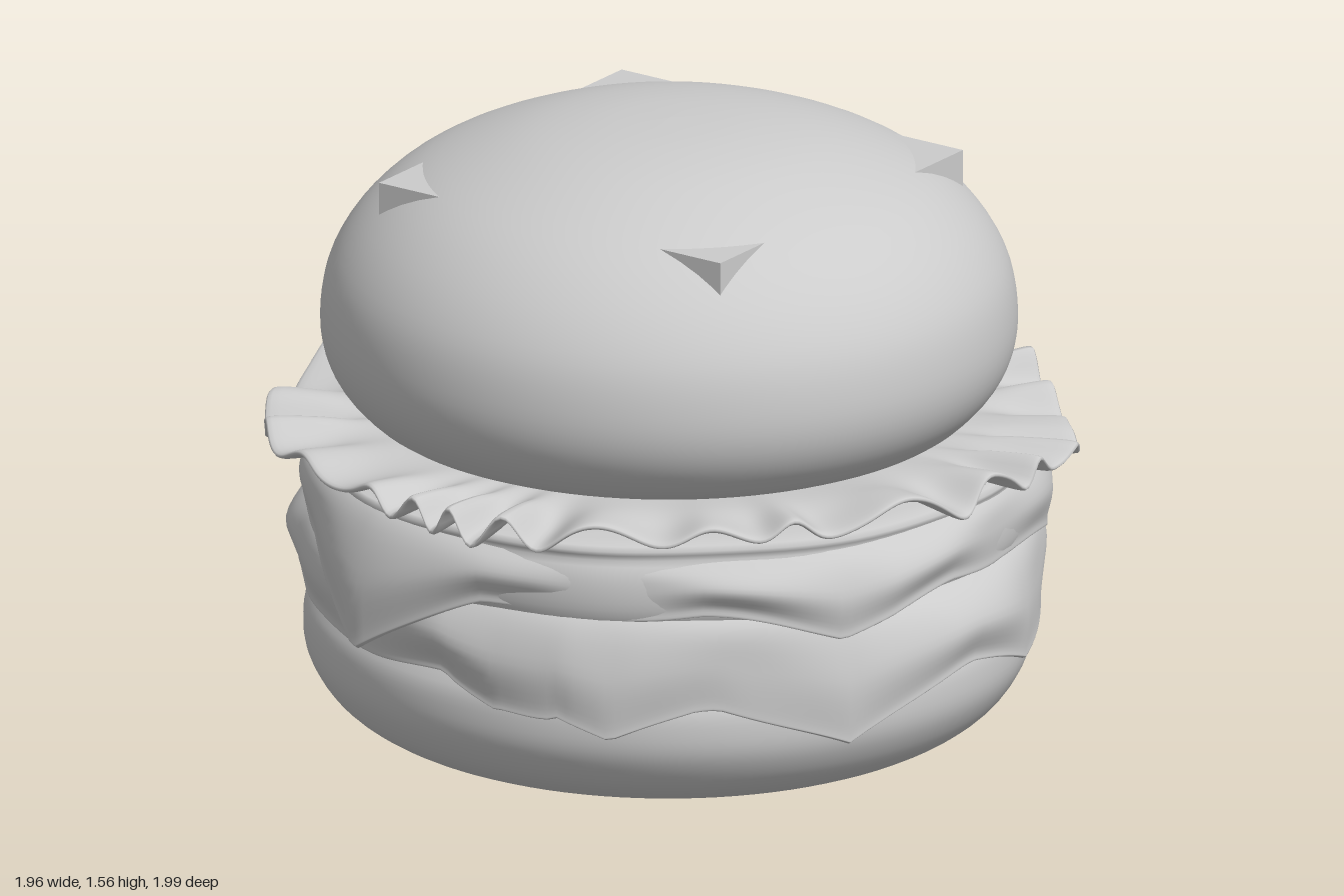
import * as THREE from 'three';

const RAD = Math.PI / 180;
const material = new THREE.MeshStandardMaterial({ color: 0xcccccc, roughness: 0.8 });

function add(parent, name, geometry) {
  const mesh = new THREE.Mesh(geometry, material);
  mesh.name = name;
  parent.add(mesh);
  return mesh;
}

// Smooth round body from a few [radius, y] points, listed bottom to top
function turned(points) {
  const curve = new THREE.SplineCurve(points.map(p => new THREE.Vector2(...p)));
  const pts = curve.getPoints(48).map(p => new THREE.Vector2(Math.max(p.x, 0), p.y));
  return new THREE.LatheGeometry(pts, 96);
}

// Closed ring surface; section(angle) gives [radius, y] points going outward and down.
// Angle 0 is the front, 90 degrees is +x.
function ring(section, columns, rows) {
  const pos = [], index = [];
  for (let i = 0; i < columns; i++) {
    const a = i / columns * Math.PI * 2;
    const curve = new THREE.SplineCurve(section(a).map(p => new THREE.Vector2(...p)));
    for (let j = 0; j <= rows; j++) {
      const p = curve.getPoint(j / rows);
      pos.push(p.x * Math.sin(a), p.y, p.x * Math.cos(a));
    }
    for (let j = 0; j < rows; j++) {
      const p = i * (rows + 1) + j, q = ((i + 1) % columns) * (rows + 1) + j;
      index.push(p, p + 1, q, p + 1, q + 1, q);
    }
  }
  const g = new THREE.BufferGeometry();
  g.setAttribute('position', new THREE.Float32BufferAttribute(pos, 3));
  g.setIndex(index);
  g.computeVertexNormals();
  return g;
}

// Sum of peaks [angle in degrees, height, half width, sharpness] around the circle
function peaks(list, a) {
  let sum = 0;
  for (const [deg, height, width, power = 1.3] of list) {
    const d = Math.abs(((a / RAD - deg + 540) % 360 + 360) % 360 - 180);
    sum += height * Math.pow(Math.max(0, 1 - d / width), power);
  }
  return sum;
}

// Soft slice draped over a patty, with hanging corners
function slice(top, edge, corners, bulges, phase) {
  return ring(a => {
    const drop = peaks(corners, a);
    const wave = 0.01 * Math.sin(5 * a + phase) + 0.006 * Math.sin(11 * a + 2 * phase);
    const y0 = top + 0.012 * Math.sin(3 * a + phase);
    const y1 = edge + wave - drop;
    const out = peaks(bulges, a) + 0.008 * Math.sin(4 * a + phase);
    const tip = 0.905 + out + Math.min(drop, 0.2) * 0.2;
    const mid = y0 + (y1 - y0) * 0.55;
    return [
      [0.6, y0], [0.82, y0 - 0.005], [0.895 + out * 0.6, y0 - 0.045],
      [0.925 + out + wave, mid], [tip, y1 + 0.025], [tip - 0.002, y1],
      [tip - 0.03, y1 + 0.012], [0.86, mid], [0.8, y0 - 0.06]
    ];
  }, 240, 40);
}

// Uneven patty between two heights
function patty(bottom, top, radius, phase) {
  const mid = (bottom + top) / 2;
  return ring(a => {
    const r = radius + 0.008 * Math.sin(4 * a + phase) + 0.006 * Math.sin(9 * a - phase);
    return [[0.01, top], [r - 0.1, top], [r - 0.02, top - 0.05], [r, mid],
      [r - 0.02, bottom + 0.05], [r - 0.1, bottom], [0.01, bottom]];
  }, 120, 28);
}

// Ruffled leaf: ripples grow toward the rim
function leaf() {
  const rim = [[8, 0.05, 22], [-50, 0.05, 28], [-116, 0.09, 22], [-147, 0.05, 18],
    [-85, 0.02, 25], [110, 0.075, 22], [75, 0.02, 25], [172, 0.035, 30]];
  return ring(a => {
    const r = 0.945 + peaks(rim, a) + 0.006 * Math.sin(23 * a);
    const phase = 27 * a + 2.6 * Math.sin(3 * a) + 1.6 * Math.sin(7 * a);
    const size = 0.028 + 0.012 * Math.sin(5 * a + 1);
    const wave = size * (Math.sin(phase) + 0.35 * Math.sin(1.7 * phase + 0.3 * Math.sin(a)) * Math.sin(a / 2));
    const lift = 0.795 + 0.01 * Math.sin(2 * a);
    return [
      [0.6, 0.80], [0.76, lift + 0.012 + wave * 0.2], [0.87, lift + 0.01 + wave * 0.75],
      [r, lift + 0.008 + wave], [r, lift - 0.008 + wave],
      [0.87, lift - 0.008 + wave * 0.75], [0.76, lift - 0.012 + wave * 0.2], [0.6, 0.77]
    ];
  }, 480, 28);
}

export function createModel() {
  const model = new THREE.Group();
  model.name = 'burger';

  // Bread
  const bottom = add(model, 'bottomBun', turned([
    [0, 0], [0.3, 0.001], [0.54, 0.008], [0.71, 0.035], [0.82, 0.095], [0.882, 0.18],
    [0.898, 0.26], [0.88, 0.34], [0.8, 0.4], [0.5, 0.42], [0, 0.42]]));
  bottom.position.set(-0.015, 0, -0.01);
  const top = add(model, 'topBun', turned([
    [0, 0.79], [0.5, 0.79], [0.7, 0.81], [0.79, 0.87], [0.845, 0.96], [0.858, 1.07], [0.83, 1.2],
    [0.745, 1.325], [0.61, 1.428], [0.4, 1.512], [0.2, 1.55], [0, 1.56]]));
  top.position.set(-0.015, 0, -0.014);

  // Square block inside the top bun whose corners poke out
  const core = add(model, 'bunCore', new THREE.BoxGeometry(1.03, 0.5, 1.03));
  core.position.set(-0.015, 1.18, -0.022);

  // Fillings
  add(model, 'lowerPatty', patty(0.39, 0.58, 0.89, 0.5));
  add(model, 'upperPatty', patty(0.5, 0.765, 0.91, 2));
  add(model, 'lowerCheese', slice(0.595, 0.365,
    [[26, 0.1, 17, 1.1], [8, 0.06, 10, 0.7], [63, 0.14, 24], [102, 0.07, 20],
      [-78, 0.08, 20], [163, 0.02, 25], [-150, 0.02, 25]],
    [[82, 0.05, 50], [161, 0.085, 32], [-78, 0.05, 25], [20, 0.02, 30]], 1));
  add(model, 'upperCheese', slice(0.755, 0.58,
    [[-17, 0.2, 22], [62, 0.08, 22], [122, 0.06, 24], [-150, 0.03, 26], [-80, 0.02, 25]],
    [[-17, 0.035, 30], [70, 0.035, 35], [122, 0.02, 35], [165, 0.04, 30]], 2.6));
  add(model, 'lettuce', leaf());

  return model;
}
